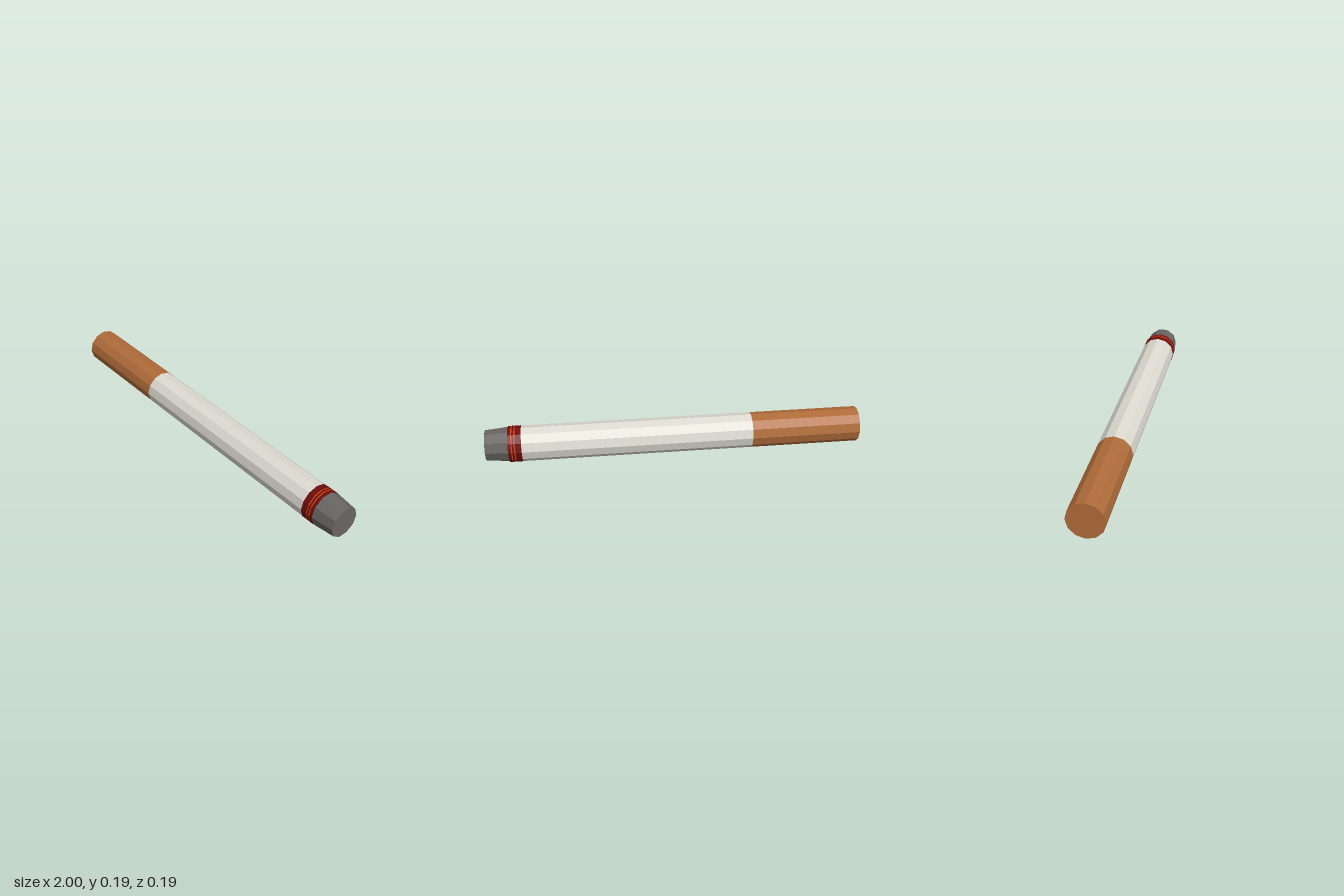
import * as THREE from 'three';

const AXIS_Y = 0.0955;

function material(name, color) {
  const m = new THREE.MeshStandardMaterial({ color, flatShading: true });
  m.name = name;
  return m;
}

export function createModel() {
  const model = new THREE.Group();
  model.name = 'cigarette';

  const tan = material('filterTan', 0xb06c3a);
  const paper = material('paperWhite', 0xdedbd2);
  const red = material('emberRed', 0x6e0c0c);
  const orange = material('emberOrange', 0xd0420e);
  const ash = material('ashGrey', 0x686562);

  // Faceted segment along x from x0 (radius r0) to x1 (radius r1)
  function segment(name, mat, x0, x1, r0, r1 = r0, sides = 12) {
    const geometry = new THREE.CylinderGeometry(r1, r0, x1 - x0, sides);
    geometry.rotateZ(-Math.PI / 2);
    const mesh = new THREE.Mesh(geometry, mat);
    mesh.name = name;
    mesh.position.set((x0 + x1) / 2, AXIS_Y, 0);
    model.add(mesh);
  }

  segment('filter', tan, -1, -0.415, 0.0945);
  segment('paperTube', paper, -0.415, 0.81, 0.0945);

  // Burning ring: dark red with thin glowing bands
  const bands = [0.81, 0.842, 0.848, 0.858, 0.864, 0.88];
  for (let i = 0; i < bands.length - 1; i++) {
    const glowing = i % 2 === 1;
    segment(glowing ? 'emberGlow' : 'emberRing', glowing ? orange : red, bands[i], bands[i + 1], 0.0955);
  }

  // Tapered ten-sided ash end
  segment('ashTip', ash, 0.88, 1, 0.0935, 0.082, 10);

  return model;
}
